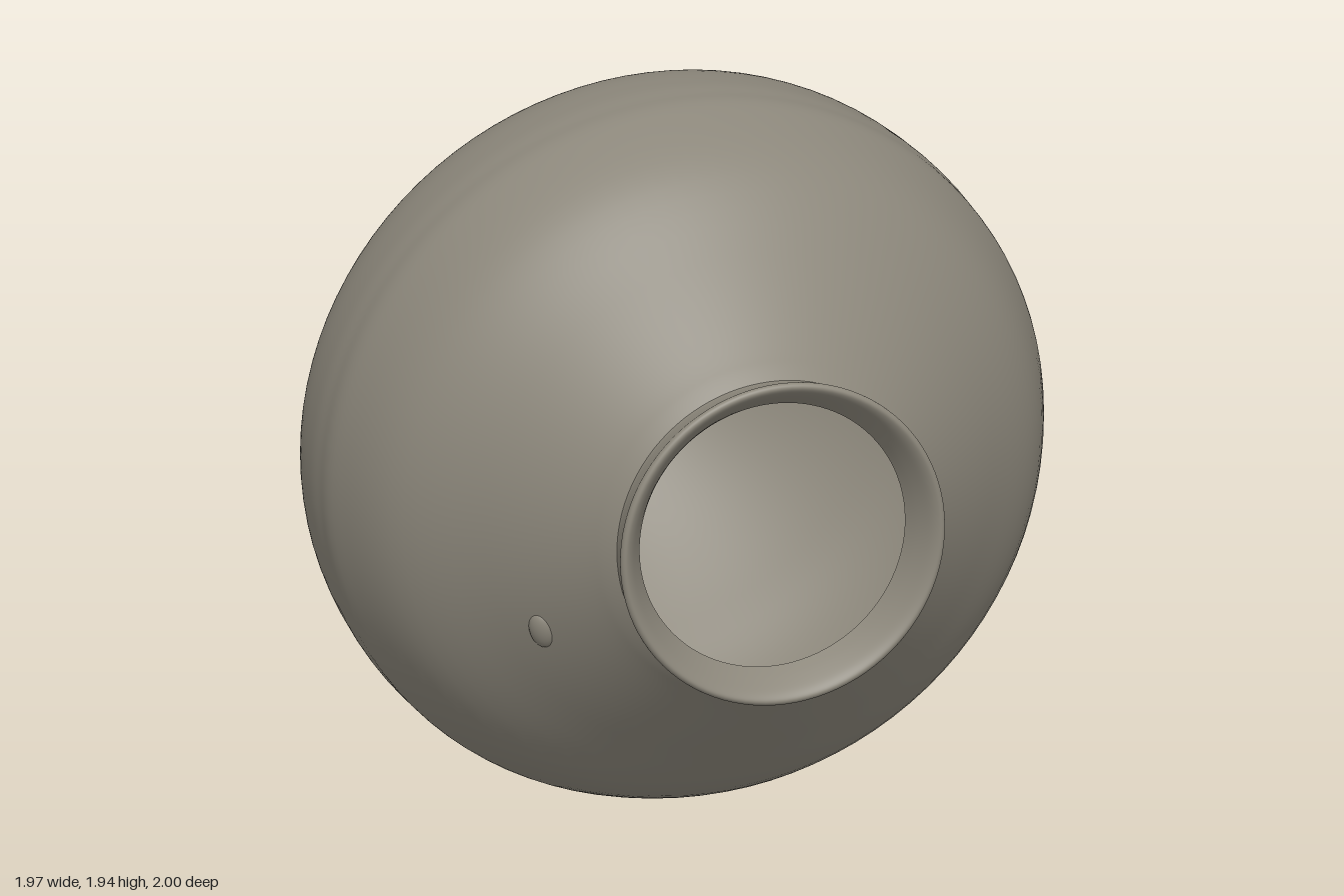
import * as THREE from 'three';

const SEGMENTS = 96;

// Hand-thrown irregularity: the axis wanders a little and the mouth is tilted
function warp(geometry) {
  const p = geometry.attributes.position;
  for (let i = 0; i < p.count; i++) {
    const x = p.getX(i), y = p.getY(i), z = p.getZ(i);
    const bulge = 0.04 * Math.exp(-(((z + 0.55) / 0.18) ** 2));
    const centreX = bulge - (z < -0.8 ? 0.01 : 0);
    const centreY = z > 0 ? 0.973 + 0.04 * z * z : 0.973 - 0.04 * z ** 4;
    const tilt = THREE.MathUtils.smoothstep(z, 0.6, 0.95);
    p.setXYZ(i, x * 1.015 + centreX, y + centreY, z - tilt * (0.045 * y + 0.02 * x));
  }
  return geometry;
}

// Smooth curve through [radius, z] points, turned about the z axis
function turned(name, points, material, samples) {
  const pts = points.map(([r, z]) => new THREE.Vector2(r, z));
  const profile = samples ? new THREE.SplineCurve(pts).getPoints(samples) : pts;
  const geometry = new THREE.LatheGeometry(profile, SEGMENTS).rotateX(Math.PI / 2);
  const mesh = new THREE.Mesh(warp(geometry), material);
  mesh.name = name;
  return mesh;
}

export function createModel() {
  const group = new THREE.Group();
  group.name = 'vase';
  const clay = new THREE.MeshStandardMaterial({ color: 0x8c877b });
  clay.name = 'grey brown clay';

  // Outer wall from foot to neck
  const wall = [
    [0.345, -0.865], [0.385, -0.84], [0.455, -0.79], [0.63, -0.6], [0.785, -0.4],
    [0.91, -0.2], [0.952, -0.1], [0.968, 0.02], [0.968, 0.1], [0.956, 0.2],
    [0.87, 0.4], [0.69, 0.6], [0.505, 0.79], [0.45, 0.85], [0.42, 0.88],
  ];
  group.add(turned('body', wall, clay, 80));

  // Foot ring with its rounded edge
  group.add(turned('footRing', [
    [0.25, -0.945], [0.265, -0.985], [0.285, -0.998], [0.305, -0.998],
    [0.318, -0.985], [0.325, -0.94], [0.335, -0.89], [0.345, -0.865],
  ], clay, 32));
  group.add(turned('footRecess', [[0, -0.94], [0.12, -0.942], [0.25, -0.945]], clay));

  // Flared collar and rolled lip
  group.add(turned('collar', [
    [0.42, 0.88], [0.422, 0.9], [0.432, 0.945], [0.44, 0.968], [0.436, 0.98],
    [0.424, 0.982], [0.405, 0.965], [0.38, 0.925], [0.36, 0.885],
  ], clay, 40));

  // Hollow inside: wall, step into the foot, and floor
  group.add(turned('innerWall', [
    [0.36, 0.885], [0.4, 0.845], [0.465, 0.78], [0.65, 0.59], [0.83, 0.39],
    [0.915, 0.2], [0.928, 0.05], [0.87, -0.19], [0.74, -0.39], [0.59, -0.58],
    [0.42, -0.76], [0.34, -0.825], [0.305, -0.845],
  ], clay, 70));
  group.add(turned('innerStep', [
    [0.305, -0.845], [0.275, -0.855], [0.257, -0.87], [0.25, -0.9],
  ], clay, 16));
  group.add(turned('innerFloor', [[0.25, -0.9], [0.12, -0.903], [0, -0.905]], clay));

  // Small lump in the clay on the shoulder
  const lump = new THREE.Mesh(new THREE.SphereGeometry(1, 20, 14), clay);
  lump.name = 'shoulderLump';
  lump.scale.set(0.035, 0.055, 0.025);
  lump.position.set(-0.56, 0.73, 0.672);
  lump.rotation.set(0.35, -0.65, 0.3);
  group.add(lump);

  return group;
}
